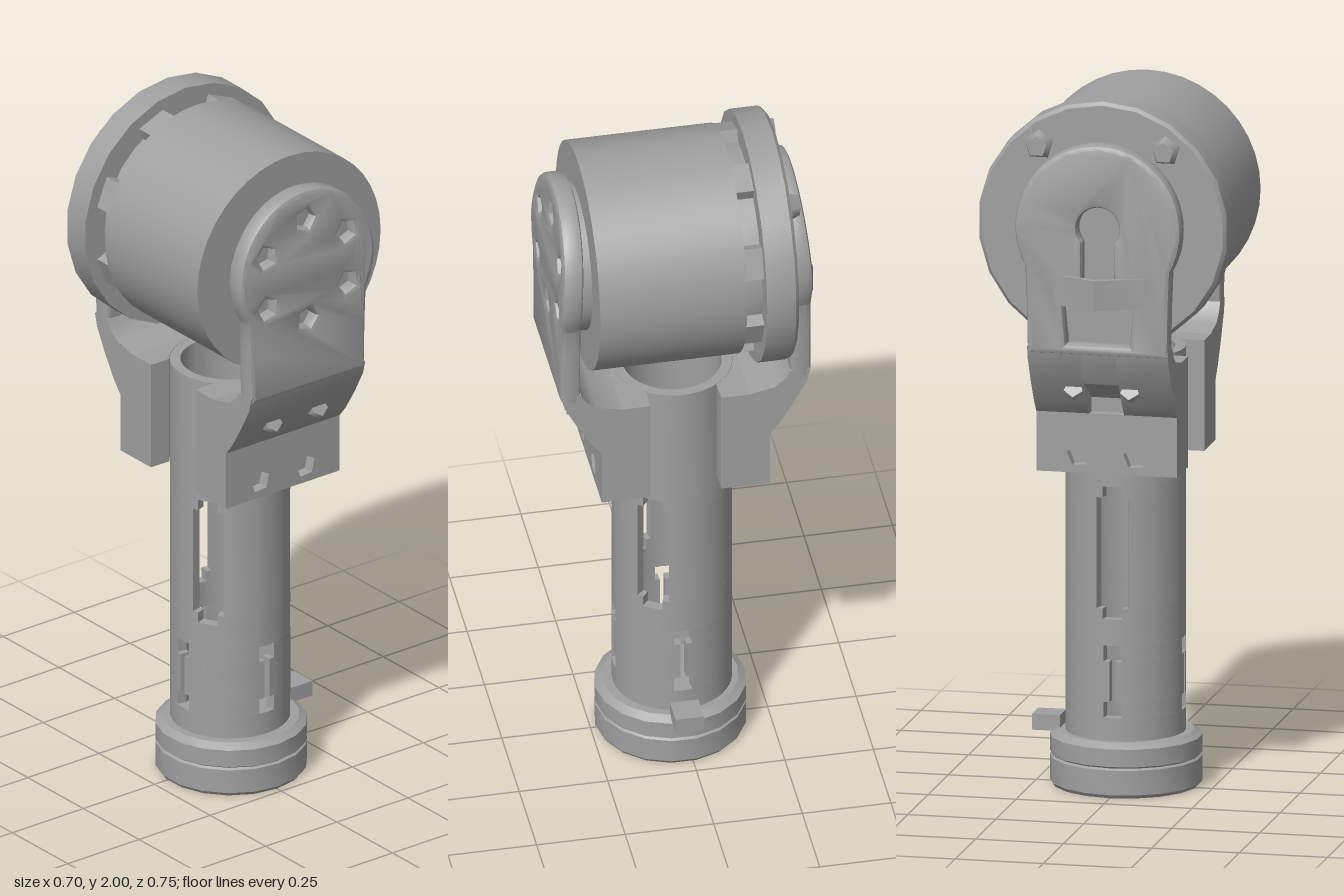
import * as THREE from 'three';
import { toCreasedNormals } from 'three/addons/utils/BufferGeometryUtils.js';

const grey = new THREE.MeshStandardMaterial({ color: 0xa0a0a0 });
grey.name = 'grey metal';
const AXIS_Z = 0.02; // centre of the post
const HEAD_Y = 1.645; // centre of the drum
const RAD = Math.PI / 180;

function add(parent, name, geometry, x = 0, y = 0, z = 0) {
  const mesh = new THREE.Mesh(geometry, grey);
  mesh.name = name;
  mesh.position.set(x, y, z);
  parent.add(mesh);
  return mesh;
}

const smooth = (g) => toCreasedNormals(g, 0.5);
const vec = (pts) => pts.map(([x, y]) => new THREE.Vector2(x, y));

// points on an arc around the vertical axis, angle in degrees from the front
function arc(r, a0, a1) {
  const n = Math.max(1, Math.ceil(Math.abs(a1 - a0) / 8));
  return Array.from({ length: n + 1 }, (_, i) => {
    const a = (a0 + ((a1 - a0) * i) / n) * RAD;
    return [r * Math.sin(a), -r * Math.cos(a)];
  });
}

// plan outline (x, -z) raised from y0 to y1
function raise(pts, y0, y1) {
  const g = new THREE.ExtrudeGeometry(new THREE.Shape(vec(pts)), { depth: y1 - y0, bevelEnabled: false });
  return smooth(g.rotateX(-Math.PI / 2).translate(0, y0, 0));
}

// side outline (z, y) swept from x0 to x1
function sweep(pts, x0, x1) {
  const g = new THREE.ExtrudeGeometry(new THREE.Shape(vec(pts.map(([z, y]) => [-z, y]))), { depth: x1 - x0, bevelEnabled: false });
  return smooth(g.rotateY(Math.PI / 2).translate(x0, 0, 0));
}

// disc, or lathed profile of [radius, z], facing along z
function turned(profile, sides) {
  const g = new THREE.LatheGeometry(vec(profile), sides);
  return smooth(g.rotateX(Math.PI / 2));
}

function polygonHole(x, y, r, sides, turn = 0) {
  return new THREE.Path(vec(Array.from({ length: sides }, (_, i) => {
    const a = turn + (i / sides) * Math.PI * 2;
    return [x + r * Math.cos(a), y + r * Math.sin(a)];
  })));
}

// one level of the hollow post, with gaps centred on the given angles
function postLevel(parent, y0, y1, centres, half) {
  centres.forEach((c, i) => {
    const next = i + 1 < centres.length ? centres[i + 1] : centres[0] + 360;
    const a0 = c + half, a1 = next - half;
    add(parent, 'postWall', raise([...arc(0.167, a0, a1), ...arc(0.138, a1, a0)], y0, y1), 0, 0, AXIS_Z);
  });
}

function fork(isBack) {
  const arm = new THREE.Group();
  arm.name = isBack ? 'backForkArm' : 'frontForkArm';

  // clamp block hollowed to fit the post
  const block = [[0.2, -0.12], [0.2, -0.225], [-0.2, -0.225], [-0.2, -0.12],
    ...arc(0.168, -54, 54).map(([x, y]) => [x, y - AXIS_Z])];
  add(arm, 'clampBlock', raise(block, 0.93, 1.245));

  // clamp face with screw holes
  const face = new THREE.Shape(vec([[-0.2, 0.93], [0.2, 0.93], [0.2, 1.1], [-0.2, 1.1]]));
  for (const x of [-0.08, 0.08]) face.holes.push(polygonHole(x, 0.98, 0.034, 5, 0.4));
  add(arm, 'clampFace', new THREE.ExtrudeGeometry(face, { depth: 0.035, bevelEnabled: false }), 0, 0, 0.222);

  // curved shoulder between clamp and plate
  const inner = [[0.372, 1.31], [0.315, 1.31], [0.302, 1.285], [0.27, 1.26], [0.2, 1.245]];
  const shoulder = [[0.2, 1.07], [0.257, 1.1], [0.285, 1.135], [0.325, 1.2], [0.362, 1.27], ...inner];
  if (isBack) {
    const notched = [[0.19, 1.1], [0.225, 1.14], [0.325, 1.2], [0.362, 1.27], ...inner];
    add(arm, 'shoulder', sweep(shoulder, -0.2, -0.05));
    add(arm, 'shoulderNotch', sweep(notched, -0.05, 0.05));
    add(arm, 'shoulder', sweep(shoulder, 0.05, 0.2));
  } else {
    add(arm, 'shoulder', sweep(shoulder, -0.2, 0.2));
  }
  for (const x of [-0.08, 0.08]) {
    const screw = add(arm, 'shoulderScrew', new THREE.CylinderGeometry(0.028, 0.03, 0.02, 5), x, 1.18, 0.311);
    screw.rotation.x = Math.PI / 2 - 0.56;
  }

  // round-topped plate
  const plate = new THREE.Shape();
  plate.moveTo(-0.2, 1.29);
  plate.lineTo(0.2, 1.29);
  plate.lineTo(0.203, 1.44);
  plate.absarc(0, 1.65, 0.236, -0.5, Math.PI + 0.5, false);
  plate.lineTo(-0.203, 1.44);
  if (isBack) {
    const key = new THREE.Path();
    key.moveTo(-0.045, 1.48);
    key.lineTo(0.045, 1.48);
    key.absarc(0, 1.65, 0.06, -0.7, Math.PI + 0.7, false);
    plate.holes.push(key);
    plate.holes.push(new THREE.Path(vec([[-0.09, 1.32], [0.09, 1.32], [0.1, 1.43], [-0.1, 1.43]])));
  } else {
    for (const [x, y] of [[0, 1.8], [0.14, 1.725], [-0.14, 1.725], [0.14, 1.57], [-0.14, 1.57], [0, 1.5]])
      plate.holes.push(polygonHole(x, y, 0.032, 5, x * 5));
  }
  const g = new THREE.ExtrudeGeometry(plate, {
    depth: 0.03, bevelThickness: 0.014, bevelSize: 0.014, bevelOffset: -0.014, bevelSegments: 2, curveSegments: 20,
  });
  // lean the rounded top inward
  const p = g.attributes.position;
  for (let i = 0; i < p.count; i++) p.setZ(i, p.getZ(i) - Math.max(0, p.getY(i) - 1.65) * 0.07);
  add(arm, 'plate', smooth(g), 0, 0, 0.33);

  // bowed cable strap
  if (isBack) {
    const strap = [[-0.15, -0.37], [-0.1, -0.378], [0, -0.418], [0.1, -0.378], [0.15, -0.37],
      [0.15, -0.36], [0.09, -0.365], [0, -0.4], [-0.09, -0.365], [-0.15, -0.36]];
    add(arm, 'strap', raise(strap, 1.43, 1.515));
    // mirrored to the far side of the post
    arm.rotation.y = Math.PI;
    arm.position.z = 2 * AXIS_Z;
  }
  return arm;
}

export function createModel() {
  const model = new THREE.Group();
  model.name = 'forkedPost';

  // base foot
  const foot = [[0, 0], [0.205, 0], [0.212, 0.01], [0.212, 0.08], [0.205, 0.085], [0.212, 0.09], [0.212, 0.14], [0.19, 0.155], [0, 0.155]];
  add(model, 'foot', toCreasedNormals(new THREE.LatheGeometry(vec(foot), 18), 0.4), 0, 0, 0.025);
  add(model, 'footTab', new THREE.BoxGeometry(0.08, 0.045, 0.08), 0.218, 0.168, 0.02);

  // hollow post with screw keyways and three long slots
  const screws = [0, 90, 180, 270], slots = [60, 180, 300];
  postLevel(model, 0.15, 0.22, [0], 0);
  postLevel(model, 0.22, 0.265, screws, 9);
  postLevel(model, 0.265, 0.38, screws, 3);
  postLevel(model, 0.38, 0.425, screws, 9);
  postLevel(model, 0.425, 0.5, [0], 0);
  postLevel(model, 0.5, 0.53, slots, 10);
  postLevel(model, 0.53, 0.845, slots, 16);
  postLevel(model, 0.845, 0.877, slots, 10);
  postLevel(model, 0.877, 1.245, [0], 0);

  // fork
  model.add(fork(false), fork(true));

  // drum with pivot hubs
  const head = new THREE.Group();
  head.name = 'head';
  head.position.y = HEAD_Y;
  model.add(head);
  add(head, 'drum', turned([[0, -0.13], [0.322, -0.13], [0.322, 0.285], [0, 0.285]], 40));
  add(head, 'frontHub', turned([[0, 0.28], [0.208, 0.28], [0.208, 0.335], [0, 0.335]], 28));
  add(head, 'backHub', turned([[0, -0.292], [0.2, -0.292], [0.2, -0.26], [0, -0.26]], 28));
  add(head, 'neck', turned([[0, -0.19], [0.285, -0.19], [0.285, -0.12], [0, -0.12]], 28));
  add(head, 'flange', turned([[0, -0.272], [0.345, -0.272], [0.355, -0.262], [0.355, -0.18], [0, -0.18]], 22));

  // lugs around the neck
  for (let i = 0; i < 8; i++) {
    const a = (i + 0.5) * Math.PI / 4;
    const lug = add(head, 'neckLug', new THREE.BoxGeometry(0.05, 0.09, 0.055), 0.293 * Math.cos(a), 0.293 * Math.sin(a), -0.155);
    lug.rotation.z = a;
  }
  // lugs behind the flange
  for (const s of [-1, 1]) {
    const lug = add(head, 'flangeLug', new THREE.CylinderGeometry(0.03, 0.045, 0.035, 5), s * 0.18, 0.225, -0.285);
    lug.rotation.x = -Math.PI / 2;
  }
  return model;
}
